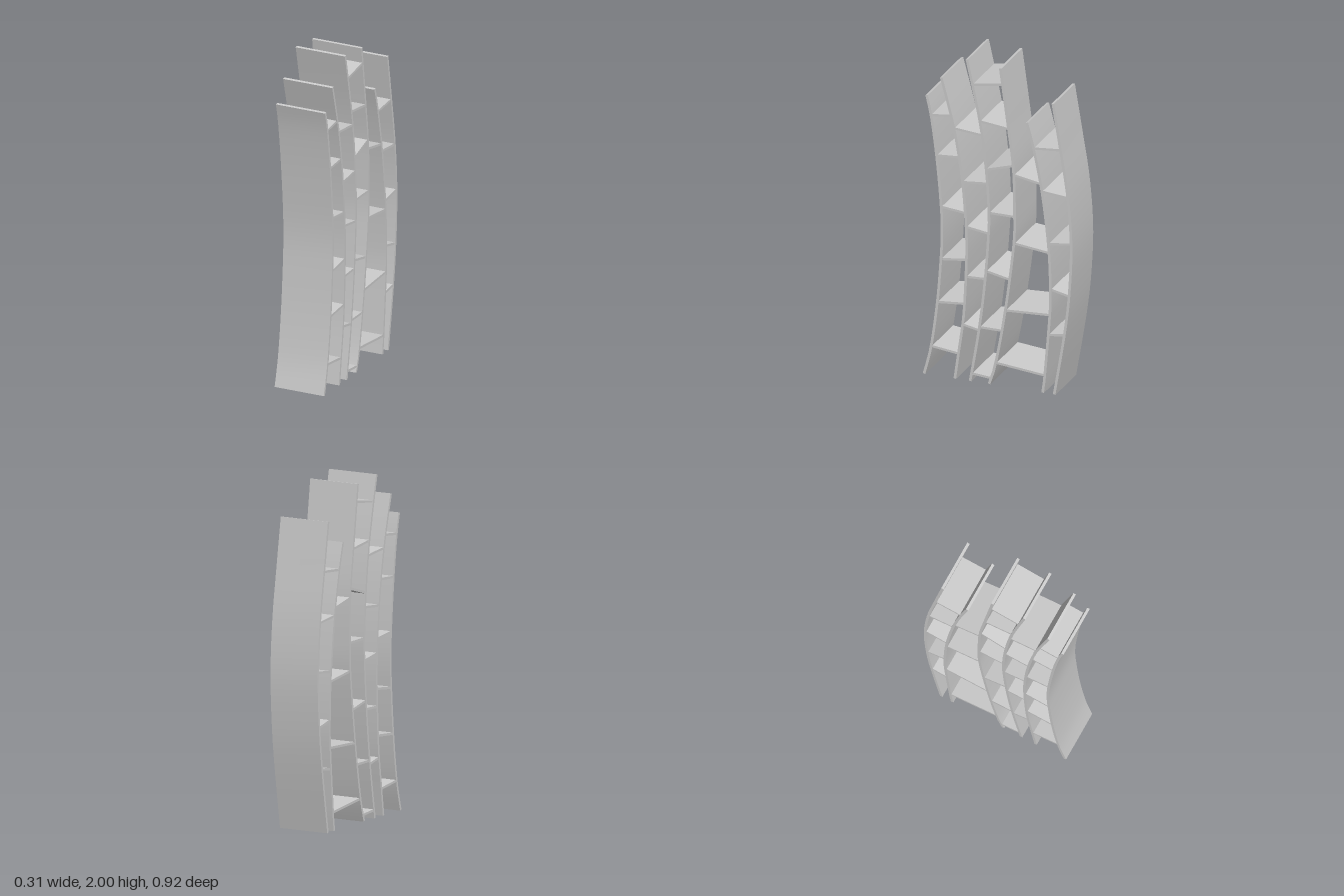
import * as THREE from 'three';
import { toCreasedNormals } from 'three/addons/utils/BufferGeometryUtils.js';

const WIDTH = 0.315, PANEL_T = 0.016, SHELF_T = 0.014;

// Centre lines of the curved panels, front to back, as [z, y]
const PANELS = [
  [[0.454, 0.002], [0.41, 0.18], [0.372, 0.46], [0.35, 0.73], [0.343, 0.9], [0.35, 1.08], [0.377, 1.37], [0.41, 1.61], [0.438, 1.735]],
  [[0.264, 0.002], [0.242, 0.16], [0.21, 0.4], [0.194, 0.7], [0.193, 0.92], [0.217, 1.23], [0.268, 1.55], [0.348, 1.86]],
  [[0.17, 0.002], [0.115, 0.33], [0.077, 0.65], [0.056, 0.94], [0.054, 1.07], [0.07, 1.32], [0.109, 1.62], [0.19, 1.998]],
  [[0.053, 0.004], [0.012, 0.14], [-0.047, 0.475], [-0.098, 0.88], [-0.104, 1.08], [-0.097, 1.36], [-0.067, 1.6], [-0.016, 1.975]],
  [[-0.277, 0.002], [-0.29, 0.11], [-0.321, 0.49], [-0.325, 0.65], [-0.313, 0.915], [-0.274, 1.24], [-0.222, 1.505], [-0.18, 1.664]],
  [[-0.348, 0.002], [-0.41, 0.375], [-0.44, 0.63], [-0.453, 0.93], [-0.432, 1.235], [-0.387, 1.525], [-0.34, 1.808]],
];

// Shelves in each gap: [height at the front panel, height at the back panel]
const SHELVES = [
  [[0.18, 0.16], [0.46, 0.475], [0.73, 0.75], [1.055, 1.04], [1.37, 1.38], [1.615, 1.63]],
  [[0.345, 0.325], [0.645, 0.65], [0.955, 0.935], [1.23, 1.245], [1.555, 1.54]],
  [[0.05, 0.04], [0.345, 0.345], [0.7, 0.67], [1.065, 1.065], [1.33, 1.38], [1.625, 1.605], [1.845, 1.875]],
  [[0.14, 0.11], [0.475, 0.49], [0.9, 0.875], [1.325, 1.295]],
  [[0.365, 0.38], [0.65, 0.625], [0.93, 0.95], [1.25, 1.235], [1.51, 1.525]],
];

// Thickens a centre line into a closed outline and extrudes it across x
function sheet(line, thickness, width) {
  const side = (sign) => line.map((p, i) => {
    const a = line[Math.max(i - 1, 0)], b = line[Math.min(i + 1, line.length - 1)];
    const d = b.clone().sub(a).normalize().multiplyScalar(sign * thickness / 2);
    return new THREE.Vector2(p.x - d.y, p.y + d.x);
  });
  const shape = new THREE.Shape([...side(1), ...side(-1).reverse()]);
  const geo = new THREE.ExtrudeGeometry(shape, { depth: width, bevelEnabled: false });
  geo.translate(0, 0, -width / 2);
  geo.rotateY(-Math.PI / 2);
  return toCreasedNormals(geo, 0.5);
}

// Point on a sampled centre line at a given height
function pointAt(line, y) {
  const i = Math.max(1, line.findIndex((p) => p.y >= y));
  const a = line[i - 1], b = line[i];
  return a.clone().lerp(b, (y - a.y) / (b.y - a.y));
}

export function createModel() {
  const model = new THREE.Group();
  model.name = 'curvedShelving';
  const material = new THREE.MeshStandardMaterial({ color: 0xcccccc });
  const add = (name, geo) => {
    const mesh = new THREE.Mesh(geo, material);
    mesh.name = name;
    model.add(mesh);
  };

  const lines = PANELS.map((pts) =>
    new THREE.SplineCurve(pts.map(([z, y]) => new THREE.Vector2(z, y))).getSpacedPoints(24));

  // Bent upright panels
  lines.forEach((line, i) => add(`panel${i + 1}`, sheet(line, PANEL_T, WIDTH)));

  // Slanted shelves, let into the panels at both ends
  SHELVES.forEach((gap, i) => gap.forEach(([front, back], j) => {
    const ends = [pointAt(lines[i], front), pointAt(lines[i + 1], back)];
    add(`shelf${i + 1}_${j + 1}`, sheet(ends, SHELF_T, WIDTH - 0.004));
  }));

  return model;
}
